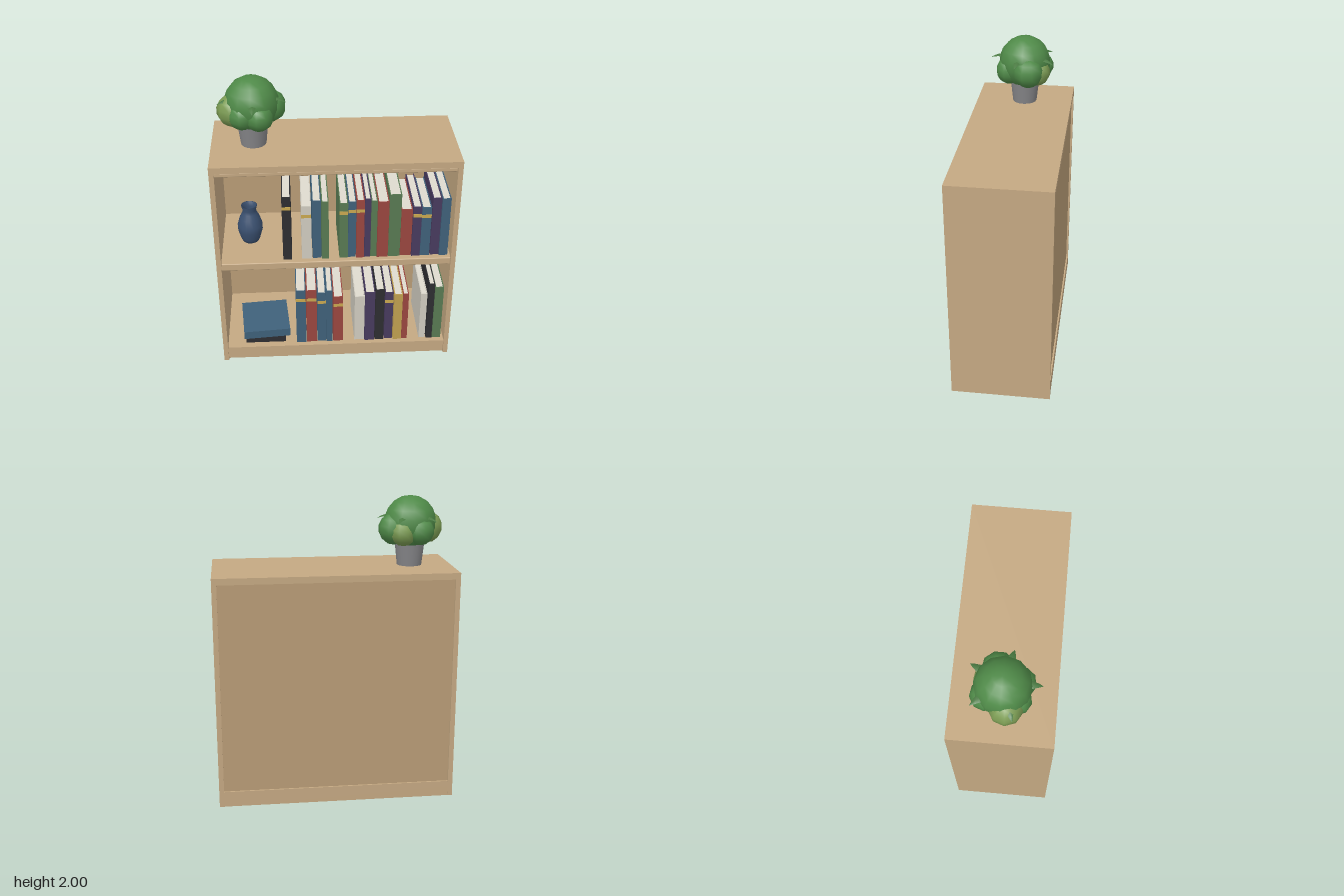
import * as THREE from 'three';
import { RoundedBoxGeometry } from 'three/addons/geometries/RoundedBoxGeometry.js';

const mat = (color, extra = {}) => new THREE.MeshStandardMaterial({ color, ...extra });
const M = {
  wood: mat(0xc4a882), back: mat(0xb89c76), pages: mat(0xdedace), band: mat(0xc9a850),
  blue: mat(0x3f617a), red: mat(0x9a463f), green: mat(0x587a52), purple: mat(0x473a5e),
  white: mat(0xd0ccc0), black: mat(0x2d2d31), gold: mat(0xc0a050),
  vase: mat(0x3a5070, { side: THREE.DoubleSide }), pot: mat(0x858588), soil: mat(0x4a382a),
  leaf: mat(0x4f8a48), leafLight: mat(0x7a9a52), spike: mat(0x4a7a42, { side: THREE.DoubleSide }),
};

function add(parent, name, geometry, material, x = 0, y = 0, z = 0) {
  const m = new THREE.Mesh(geometry, material);
  m.name = name;
  m.position.set(x, y, z);
  parent.add(m);
  return m;
}

// Box given by its limits on each axis
function span(parent, name, material, [x0, x1], [y0, y1], [z0, z1], radius = 0) {
  const size = [x1 - x0, y1 - y0, z1 - z0];
  const g = radius ? new RoundedBoxGeometry(...size, 2, radius) : new THREE.BoxGeometry(...size);
  return add(parent, name, g, material, (x0 + x1) / 2, (y0 + y1) / 2, (z0 + z1) / 2);
}

function makeCabinet() {
  const g = new THREE.Group();
  g.name = 'cabinet';
  const inner = [-0.755, 0.755];
  for (const s of [-1, 1]) {
    span(g, s > 0 ? 'leftSide' : 'rightSide', M.wood,
      s > 0 ? [0.755, 0.787] : [-0.787, -0.755], [0, 1.503], [-0.325, 0.325]);
  }
  span(g, 'top', M.wood, [-0.787, 0.787], [1.503, 1.545], [-0.325, 0.325]);
  span(g, 'topRail', M.wood, inner, [1.475, 1.503], [0.285, 0.32], 0.006);
  span(g, 'backPanel', M.back, inner, [0.1, 1.503], [-0.312, -0.297]);
  span(g, 'bottomShelf', M.wood, inner, [0.067, 0.105], [-0.323, 0.318]);
  span(g, 'plinth', M.wood, inner, [0, 0.067], [-0.323, 0.305]);
  span(g, 'middleShelf', M.wood, inner, [0.775, 0.82], [-0.297, 0.3]);
  span(g, 'shelfEdge', M.wood, inner, [0.768, 0.82], [0.29, 0.32], 0.006);
  return g;
}

// Upright book: spine, two boards, page block and an optional spine band
function makeBook(parent, y0, [x0, x1, top, color, band], i) {
  const g = new THREE.Group();
  g.name = 'book';
  parent.add(g);
  const a = x0 + 0.001, b = x1 - 0.001, front = 0.285 - (i % 3) * 0.005;
  const back = front - 0.38 - ((i * 7) % 5) * 0.012, t = 0.006;
  span(g, 'spine', M[color], [a, b], [y0, top], [front - t, front]);
  span(g, 'board', M[color], [a, a + t], [y0, top], [back, front - t]);
  span(g, 'board', M[color], [b - t, b], [y0, top], [back, front - t]);
  span(g, 'pages', M.pages, [a + t, b - t], [y0 + 0.004, top - 0.006], [back + 0.008, front - t]);
  if (band) span(g, 'band', M.band, [a, b], [band - 0.012, band + 0.012], [front, front + 0.002]);
}

// [x0, x1, top, colour, band height]
const UPPER = [
  [-0.35, -0.29, 1.3, 'black', 1.215], [-0.227, -0.16, 1.225, 'white', 1.15],
  [-0.156, -0.097, 1.26, 'blue'], [-0.096, -0.048, 1.257, 'green'],
  [0.02, 0.077, 1.24, 'green', 1.167], [0.077, 0.13, 1.247, 'blue', 1.175],
  [0.13, 0.183, 1.263, 'red', 1.183], [0.183, 0.225, 1.268, 'purple'],
  [0.225, 0.267, 1.25, 'green'], [0.267, 0.341, 1.247, 'red'],
  [0.341, 0.42, 1.295, 'green'], [0.42, 0.495, 1.178, 'red'],
  [0.495, 0.553, 1.2, 'purple', 1.135], [0.553, 0.617, 1.193, 'blue', 1.125],
  [0.62, 0.68, 1.257, 'purple'], [0.68, 0.738, 1.257, 'blue'],
];
const LOWER = [
  [-0.277, -0.207, 0.557, 'blue', 0.475], [-0.205, -0.132, 0.552, 'red', 0.472],
  [-0.13, -0.07, 0.525, 'blue', 0.446], [-0.07, -0.024, 0.547, 'blue'],
  [-0.021, 0.048, 0.492, 'red', 0.42], [0.127, 0.198, 0.483, 'white'],
  [0.198, 0.268, 0.525, 'purple'], [0.27, 0.333, 0.541, 'black'],
  [0.336, 0.395, 0.51, 'purple', 0.435], [0.398, 0.458, 0.498, 'gold'],
  [0.458, 0.5, 0.498, 'red'], [0.582, 0.628, 0.488, 'white'],
  [0.632, 0.675, 0.578, 'black'], [0.677, 0.738, 0.546, 'green'],
];

function makeVase() {
  const profile = [[0, 0], [0.055, 0], [0.066, 0.025], [0.083, 0.085], [0.084, 0.125], [0.068, 0.18],
    [0.05, 0.215], [0.044, 0.24], [0.054, 0.272], [0.048, 0.272], [0.038, 0.24], [0.04, 0.2]];
  const vase = new THREE.Mesh(
    new THREE.LatheGeometry(profile.map(p => new THREE.Vector2(...p)), 20), M.vase);
  vase.name = 'vase';
  vase.position.set(-0.568, 0.82, 0.03);
  return vase;
}

// Flat tapering leaf pointing along +z, arched and drooping at its tip
function leafGeometry(length, width) {
  const g = new THREE.PlaneGeometry(1, 1, 2, 5);
  const p = g.attributes.position;
  for (let i = 0; i < p.count; i++) {
    const t = p.getY(i) + 0.5, u = p.getX(i);
    const w = width * (1 - t) ** 0.8;
    p.setXYZ(i, u * w, 0.06 * t - 0.08 * t * t - Math.abs(u) * w * 0.5, t * length);
  }
  g.computeVertexNormals();
  return g;
}

function makePlant() {
  const g = new THREE.Group();
  g.name = 'plant';
  g.position.set(-0.515, 1.545, 0);
  add(g, 'pot', new THREE.CylinderGeometry(0.1, 0.082, 0.16, 16), M.pot, 0, 0.08, 0);
  add(g, 'soil', new THREE.CylinderGeometry(0.088, 0.088, 0.01, 16), M.soil, 0, 0.16, 0);

  // Foliage clumps: x, y, z, radius, light
  const clumps = [
    [0, 0.282, 0, 0.174, 0], [0.112, 0.243, -0.035, 0.104, 0], [-0.118, 0.243, 0.025, 0.104, 1],
    [0.045, 0.228, 0.1, 0.092, 0], [-0.06, 0.232, 0.085, 0.09, 0],
    [-0.05, 0.235, -0.1, 0.092, 0], [0.06, 0.225, -0.09, 0.088, 1],
  ];
  clumps.forEach(([x, y, z, r, light], i) => {
    const ball = add(g, 'foliage', new THREE.SphereGeometry(r, i ? 9 : 12, i ? 7 : 9),
      light ? M.leafLight : M.leaf, x, y, z);
    ball.rotation.y = i * 0.7;
  });

  // Pointed leaves poking out around the crown
  const tips = [[0.01, 0.232], [0.215, 0.05], [0.11, -0.2], [-0.14, -0.18], [-0.215, 0.07]];
  for (const [x, z] of tips) {
    const r = Math.hypot(x, z), start = 0.1;
    const leaf = add(g, 'leaf', leafGeometry(r - start, 0.085), M.spike,
      x * start / r, 0.32, z * start / r);
    leaf.rotation.y = Math.atan2(x, z);
  }
  return g;
}

export function createModel() {
  const model = new THREE.Group();
  model.name = 'bookcase';
  model.add(makeCabinet(), makeVase(), makePlant());

  const rows = [['upperBooks', 0.82, UPPER], ['lowerBooks', 0.105, LOWER]];
  for (const [name, y0, list] of rows) {
    const row = new THREE.Group();
    row.name = name;
    list.forEach((b, i) => makeBook(row, y0, b, i));
    model.add(row);
  }

  // Two books lying flat
  add(model, 'flatBookLower', new THREE.BoxGeometry(0.278, 0.055, 0.3), M.black, -0.491, 0.1325, 0.12);
  const upper = add(model, 'flatBookUpper', new THREE.BoxGeometry(0.32, 0.06, 0.33), M.blue, -0.492, 0.19, 0.12);
  upper.rotation.y = 0.08;
  return model;
}
